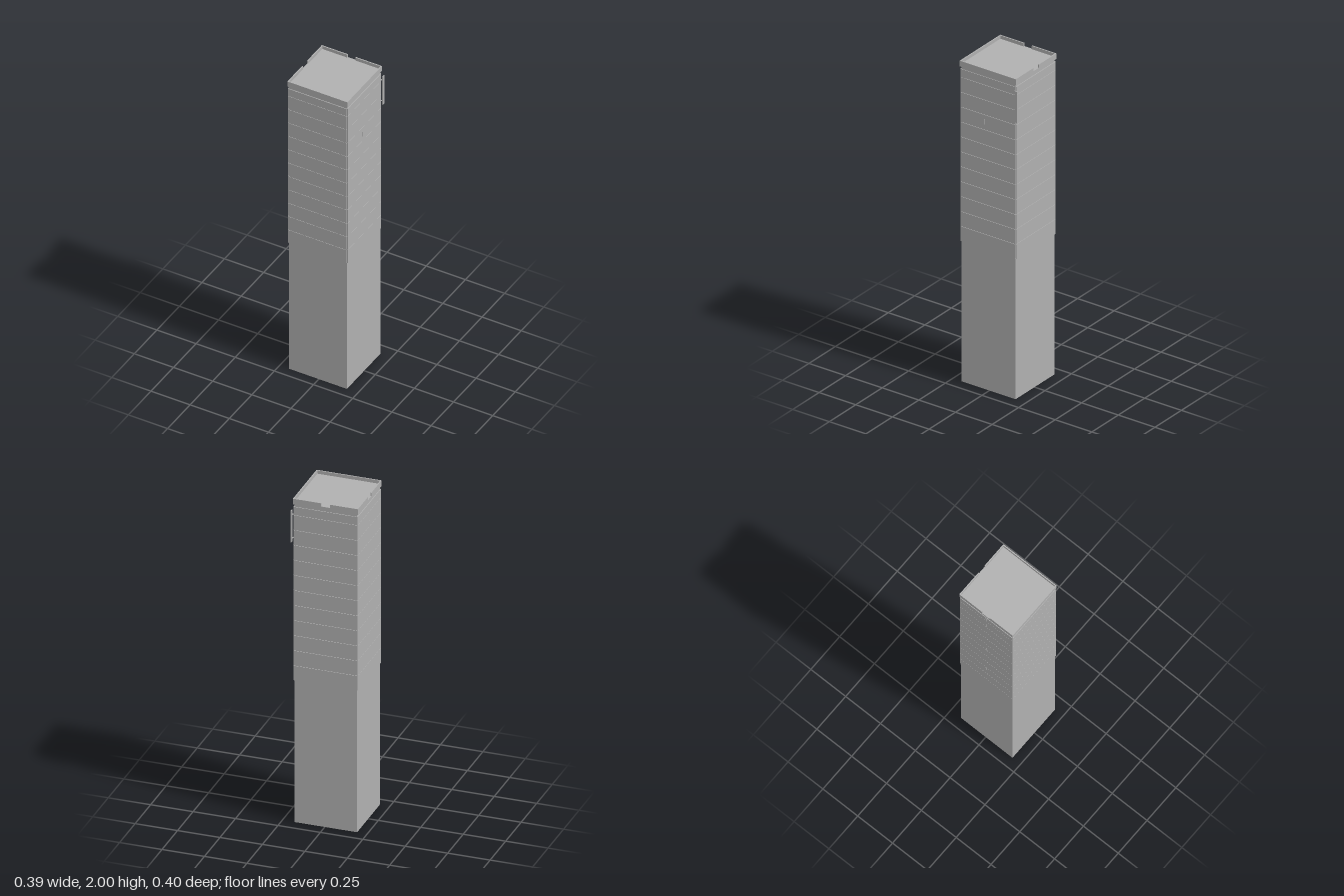
import * as THREE from 'three';

export function createModel() {
  const tower = new THREE.Group();
  tower.name = 'tower';
  const concrete = new THREE.MeshStandardMaterial({ color: 0xb0b0b0, side: THREE.DoubleSide });
  concrete.name = 'concrete grey';

  // The tower stands slightly off centre because of the corner sign
  const cx = -0.0055, cz = 0.0065;
  const body = 0.185, outer = 0.1915;

  function box(name, x0, x1, y0, y1, z0, z1, parent = tower) {
    const mesh = new THREE.Mesh(new THREE.BoxGeometry(x1 - x0, y1 - y0, z1 - z0), concrete);
    mesh.position.set((x0 + x1) / 2, (y0 + y1) / 2, (z0 + z1) / 2);
    mesh.name = name;
    parent.add(mesh);
    return mesh;
  }

  const block = new THREE.Group();
  block.name = 'block';
  block.position.set(cx, 0, cz);
  tower.add(block);

  // Four walls, open underneath
  for (let i = 0; i < 4; i++) {
    const wall = new THREE.Mesh(new THREE.PlaneGeometry(body * 2, 1.97), concrete);
    wall.geometry.translate(0, 0.985, body);
    wall.rotation.y = i * Math.PI / 2;
    wall.name = 'wall';
    block.add(wall);
  }

  // Rows of storey cladding standing just off each wall
  const storey = 0.093, base = 0.877, top = 1.95;
  for (let side = 0; side < 4; side++) {
    const cladding = new THREE.Group();
    cladding.name = 'cladding';
    cladding.rotation.y = side * Math.PI / 2;
    block.add(cladding);
    for (let y = base; y < top - 0.01; y += storey) {
      box('storeyPanel', -body, body, y, Math.min(y + storey - 0.002, top),
        body + 0.001, body + 0.0055, cladding);
    }
  }

  // Small upright fittings on the side walls
  for (const y of [1.92, 1.83, 1.45, 1.13]) {
    box('wallFitting', -outer - 0.001, -body, y - 0.014, y + 0.014, -0.003, 0.003, block);
  }
  box('wallFitting', body, outer + 0.001, 1.655, 1.685, 0.02, 0.026, block);

  // Roof slab and parapet, with a gap in the back and in one side
  box('roof', -outer, outer, 1.965, 1.98, -outer, outer, block);
  const inner = outer - 0.0065;
  box('frontParapet', -outer, outer, 1.98, 2, inner, outer, block);
  box('sideParapet', inner, outer, 1.98, 2, -outer, inner, block);
  box('backParapet', -outer, -0.026, 1.98, 2, -outer, -inner, block);
  box('backParapet', 0.026, inner, 1.98, 2, -outer, -inner, block);
  box('sideParapet', -outer, -inner, 1.98, 2, -inner, -0.028, block);
  box('sideParapet', -outer, -inner, 1.98, 2, 0.027, inner, block);

  // Tall blade sign on the back corner, held by two brackets
  box('sign', 0.189, 0.195, 1.735, 1.93, -0.2, -0.181);
  for (const y of [1.76, 1.905]) {
    const bracket = box('signBracket', 0.177, 0.192, y - 0.003, y + 0.003, -0.186, -0.182);
    bracket.rotation.y = Math.PI / 4;
  }

  return tower;
}
